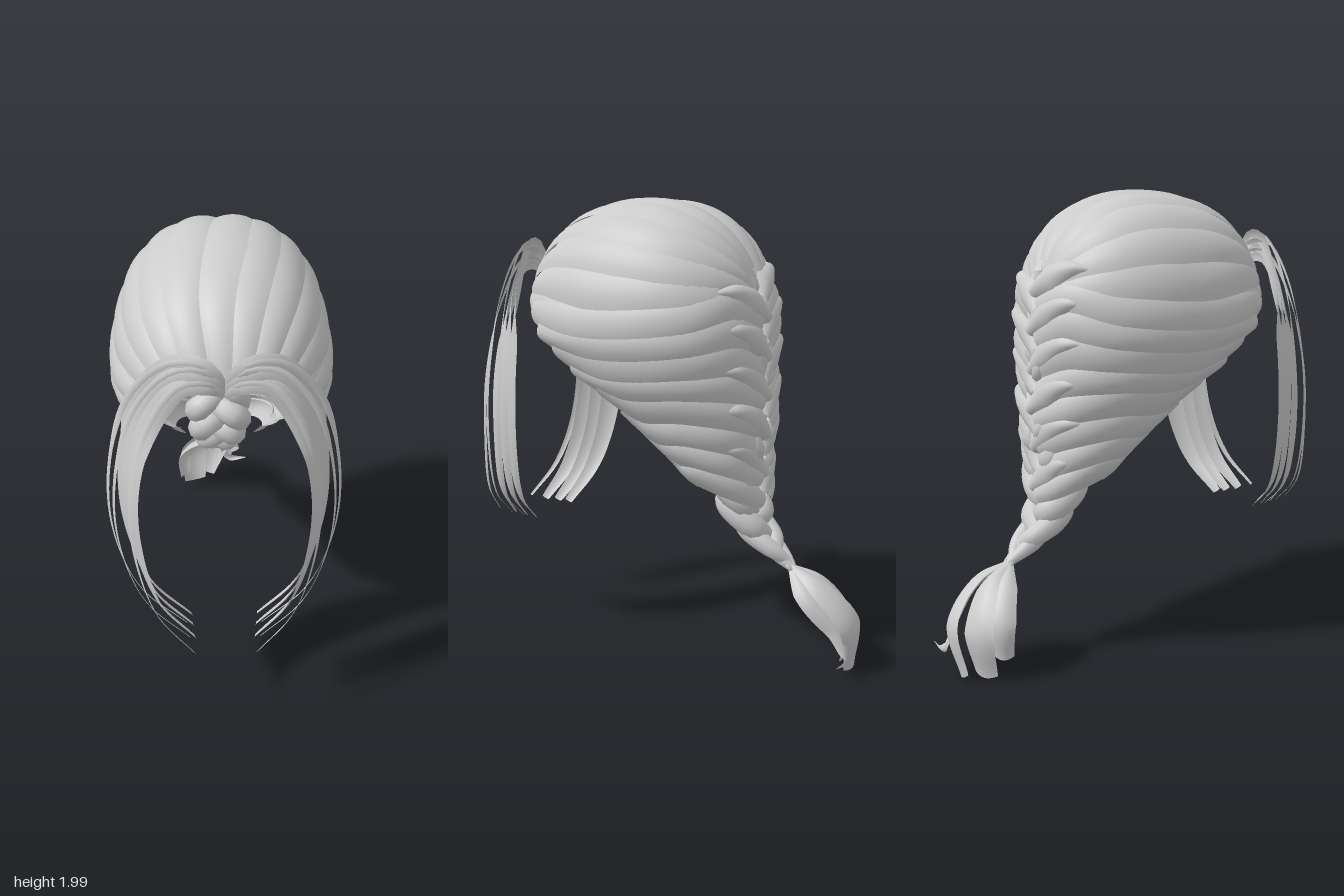
import * as THREE from 'three';

const V = (x, y, z) => new THREE.Vector3(x, y, z);
const mat = new THREE.MeshStandardMaterial({ color: 0xcccccc, side: THREE.DoubleSide });

// linear interpolation through [key, value...] rows with rising keys
function table(rows, k) {
  let i = 0;
  while (i < rows.length - 2 && k > rows[i + 1][0]) i++;
  const a = rows[i], b = rows[i + 1];
  const f = THREE.MathUtils.clamp((k - a[0]) / (b[0] - a[0]), 0, 1);
  return a.slice(1).map((v, j) => v + (b[j + 1] - v) * f);
}

// head shape: rounded dome above y = MID, narrowing sections below it
const MID = 1.42, POW = 2.3;
const DOME = [0.438, 0.565, 0.585, 0.51]; // side, up, front, back radii
const NAPE = [ // y, centre z, side, front, back radii
  [0.7, -0.34, 0.14, 0.1, 0.1], [0.9, -0.23, 0.24, 0.15, 0.19],
  [1.1, -0.05, 0.32, 0.2, 0.39], [1.25, 0.03, 0.39, 0.42, 0.46], [MID, 0.08, 0.438, 0.585, 0.51]];

function onHead(p, lift = 0) {
  const dome = p.y > MID;
  const [zc, rx, rf, rb] = dome ? [0.08, DOME[0], DOME[2], DOME[3]] : table(NAPE, p.y);
  const c = V(0, dome ? MID : p.y, zc);
  const d = p.clone().sub(c);
  const rz = d.z > 0 ? rf : rb;
  const m = Math.pow(Math.pow(Math.abs(d.x) / rx, POW) + Math.pow(Math.abs(d.y) / DOME[1], POW)
    + Math.pow(Math.abs(d.z) / rz, POW), 1 / POW) || 1;
  d.divideScalar(m);
  const n = V(d.x / rx ** 2, d.y / DOME[1] ** 2, d.z / rz ** 2).normalize();
  return { pos: c.add(d).addScaledVector(n, lift), n };
}

// grid surface from a function of (u, v)
function grid(nu, nv, fn) {
  const pos = [], idx = [];
  for (let i = 0; i <= nu; i++) for (let j = 0; j <= nv; j++) {
    pos.push(...fn(i / nu, j / nv).toArray());
    if (i < nu && j < nv) {
      const a = i * (nv + 1) + j, b = a + nv + 1;
      idx.push(a, b, a + 1, b, b + 1, a + 1);
    }
  }
  const g = new THREE.BufferGeometry();
  g.setAttribute('position', new THREE.Float32BufferAttribute(pos, 3));
  g.setIndex(idx);
  g.computeVertexNormals();
  return g;
}

// arched lock of hair along a path; widths are half widths at evenly spaced stations.
// With no normalAt the lock hugs the head.
function lock(pts, widths, { bulge = 0.02, lift = 0, tilt = 0, normalAt = null, nu = 28, nv = 6 } = {}) {
  const curve = new THREE.CatmullRomCurve3(pts);
  const rows = widths.map((w, i) => [i / (widths.length - 1), w]);
  return grid(nu, nv, (u, v) => {
    const s = v * 2 - 1;
    const p = curve.getPointAt(u), t = curve.getTangentAt(u);
    const n = normalAt ? normalAt(p) : onHead(p).n;
    const side = t.cross(n).normalize();
    const w = table(rows, u)[0];
    const h = lift + bulge * Math.min(1, w / 0.04) * (1 - s * s) + tilt * s;
    p.addScaledVector(side, s * w);
    return normalAt ? p.addScaledVector(n, h) : onHead(p, h).pos;
  });
}

export function createModel() {
  const root = new THREE.Group();
  const group = name => {
    const g = new THREE.Group();
    g.name = name;
    root.add(g);
    return g;
  };
  const add = (parent, name, geo) => {
    const m = new THREE.Mesh(geo, mat);
    m.name = name;
    parent.add(m);
    return m;
  };

  // under layer of the dome, open at the face
  const EDGE = [[0, 1.63], [0.18, 1.55], [0.3, 1.48], [1, 1.46]];
  add(root, 'underLayer', grid(64, 20, (u, v) => {
    const a = (u * 2 - 1) * Math.PI;
    const low = Math.asin((table(EDGE, Math.abs(a) / Math.PI)[0] - MID) / DOME[1]);
    const e = Math.PI / 2 + (low - Math.PI / 2) * v, c = Math.cos(e);
    return onHead(V(DOME[0] * c * Math.sin(a), MID + DOME[1] * Math.sin(e), 0.08 + 0.54 * c * Math.cos(a)), -0.008).pos;
  }));

  // crown locks fanning, with a slight swirl, from the parting to the top of the braid
  const crown = group('crownLocks');
  for (let k = -5; k <= 5; k++) {
    const f = k * 17.4 * Math.PI / 180, s = Math.sin(f), c = Math.cos(f), q = Math.abs(k) / 5;
    const pts = [V(0.22 * s - 0.02 * c, 1.69 - 0.13 * q * q, 0.62 - 0.08 * q), V(0.36 * s - 0.03 * c, MID + 0.1 + 0.36 * c, 0.4),
      V(0.45 * s + 0.01 * c, MID + 0.57 * c + 0.03, 0.1), V(0.4 * s + 0.05 * c, MID + 0.1 + 0.42 * c, -0.22),
      V(0.05 * Math.sign(k), 1.75 - 0.2 * q, -0.42)].map(p => onHead(p).pos);
    add(crown, 'crownLock', lock(pts, [0.045, 0.08, 0.1, 0.085, 0.03],
      { bulge: 0.014, tilt: k < 0 ? -0.009 : 0.009 }));
  }

  // side locks sweeping back into the braid: start point, end height, half width
  const ROWS = [
    [0.32, 1.53, 0.5, 1.54, 0.09], [0.36, 1.45, 0.44, 1.42, 0.09], [0.37, 1.37, 0.36, 1.3, 0.085],
    [0.37, 1.295, 0.28, 1.18, 0.075], [0.37, 1.22, 0.15, 1.06, 0.075], [0.33, 1.11, 0.08, 0.95, 0.07],
    [0.29, 1.03, 0.05, 0.84, 0.065], [0.24, 0.93, -0.12, 0.74, 0.06]];
  const sides = group('sideLocks');
  for (const m of [1, -1]) ROWS.forEach(([x, y, z, ye, w], i) => {
    const drop = y - ye;
    const pts = [V(x, y, z), V(0.44, y - drop * 0.2 - 0.03, z * 0.5 - 0.05), V(0.36, y - drop * 0.4 + 0.01, -0.25),
      V(0.2, ye + 0.07, -0.42), V(0.02, ye, -0.45)].map(p => onHead(V(p.x * m, p.y, p.z)).pos);
    add(sides, 'sideLock', lock(pts, [w * 0.65, w, w, w * 0.95, w * 0.75],
      { bulge: 0.022, lift: 0.002 + 0.001 * i, tilt: 0.008 * m }));
  });

  // plump leaves turning into the centre of the back, left and right in turn
  const leaves = group('braidLeaves');
  for (let i = 0; i < 11; i++) {
    const m = i % 2 ? 1 : -1, y = 1.69 - i * 0.084;
    const pts = [V(m * 0.3, y + 0.05, -0.36), V(m * 0.18, y + 0.04, -0.42), V(m * 0.08, y - 0.01, -0.45),
      V(-m * 0.02, y - 0.09, -0.45)].map(p => onHead(p).pos);
    add(leaves, 'braidLeaf', lock(pts, [0.004, 0.045, 0.07, 0.04], { bulge: 0.036, nu: 18, nv: 8 }));
  }

  // three-strand braid: y, centre z, sway, strand radius
  const BRAID = [[0.45, -0.58, 0.008, 0.018], [0.52, -0.5, 0.038, 0.038], [0.6, -0.41, 0.06, 0.053],
    [0.72, -0.34, 0.085, 0.066], [0.86, -0.33, 0.105, 0.062], [1.0, -0.4, 0.06, 0.04],
    [1.3, -0.41, 0.045, 0.034], [1.68, -0.37, 0.035, 0.025]];
  const braid = group('braid');
  for (let s = 0; s < 3; s++) {
    const pts = [];
    for (let i = 0; i <= 80; i++) {
      const y = 1.68 - 1.23 * i / 80;
      const [z, sway] = table(BRAID, y);
      const a = 2 * Math.PI * (3.2 * Math.pow(i / 80, 1.15) + s / 3);
      pts.push(V(sway * Math.sin(a), y + 0.2 * sway * Math.sin(2 * a), z + 0.5 * sway * Math.sin(2 * a)));
    }
    const curve = new THREE.CatmullRomCurve3(pts), N = 140, R = 10;
    const geo = new THREE.TubeGeometry(curve, N, 1, R);
    const attr = geo.attributes.position, v = V(0, 0, 0);
    for (let i = 0; i < attr.count; i++) {
      const p = curve.getPointAt(Math.min(1, Math.floor(i / (R + 1)) / N));
      v.fromBufferAttribute(attr, i).sub(p).multiplyScalar(table(BRAID, p.y)[2]).add(p);
      attr.setXYZ(i, v.x, v.y, v.z);
    }
    add(braid, 'braidStrand', geo);
  }

  // tie around the end of the braid
  const tie = add(root, 'braidTie', new THREE.TorusGeometry(0.022, 0.011, 8, 20));
  tie.position.set(0, 0.45, -0.58);
  tie.rotation.x = 0.7;

  // loose tail below the tie
  const tail = group('tail');
  const tailNormal = p => p.clone().sub(V(-0.05, 0.2, -0.62)).normalize();
  const knot = V(0, 0.455, -0.575);
  [
    [[0.01, 0.05, 0.06, 0.04], V(-0.1, 0.37, -0.66), V(-0.17, 0.24, -0.72), V(-0.17, 0.11, -0.71)],
    [[0.01, 0.06, 0.08, 0.06], V(-0.05, 0.38, -0.71), V(-0.12, 0.22, -0.8), V(-0.12, 0.03, -0.77)],
    [[0.01, 0.06, 0.075, 0.045], V(0.03, 0.38, -0.73), V(0, 0.23, -0.86), V(-0.06, 0.025, -0.84)],
    [[0.01, 0.045, 0.045, 0.03, 0.002], V(0.08, 0.34, -0.7), V(0.05, 0.2, -0.82), V(0.07, 0.1, -0.87), V(0.16, 0.1, -0.87)],
  ].forEach(([w, ...p]) => add(tail, 'tailLock', lock([knot, ...p], w, { bulge: 0.02, normalAt: tailNormal })));

  // face-framing locks: facing forward at the parting, outward beside the face
  const PATH = [[0, 1.65, 0.67], [0.06, 1.73, 0.69], [0.17, 1.73, 0.67], [0.3, 1.56, 0.64], [0.38, 1.22, 0.64],
    [0.365, 0.9, 0.66], [0.28, 0.66, 0.7], [0.13, 0.51, 0.74]];
  // spread in x, rise at the top, shift in z, extra z at the tip, half width
  const LOCKS = [[1.05, 0.04, -0.04, -0.01, 0.047], [1.0, 0, 0.01, 0, 0.047], [0.94, -0.04, 0.06, 0.02, 0.047],
    [1.2, 0.05, -0.02, 0.02, 0.014], [1.13, 0.03, 0.05, 0.03, 0.012], [0.96, -0.02, 0.1, 0.07, 0.015]];
  const frame = group('faceFramingLocks');
  for (const m of [1, -1]) LOCKS.forEach(([sx, rise, dz, tip, w]) => {
    const pts = PATH.map(([x, y, z], k) => {
      const f = k / (PATH.length - 1);
      return V(m * x * sx, y + (k > 0 && k < 4 ? rise : 0), z + dz * Math.min(1, 4 * f * f) + tip * f * f);
    });
    add(frame, 'faceFramingLock', lock(pts, [w * 0.45, w * 0.9, w, w, w, w * 0.8, w * 0.4], {
      bulge: 0.008, nu: 36,
      normalAt: p => V(p.x, (p.y - 1.15) * 0.6, 0.22 + THREE.MathUtils.smoothstep(p.y, 1.35, 1.75)).normalize(),
    }));
  });

  return root;
}
